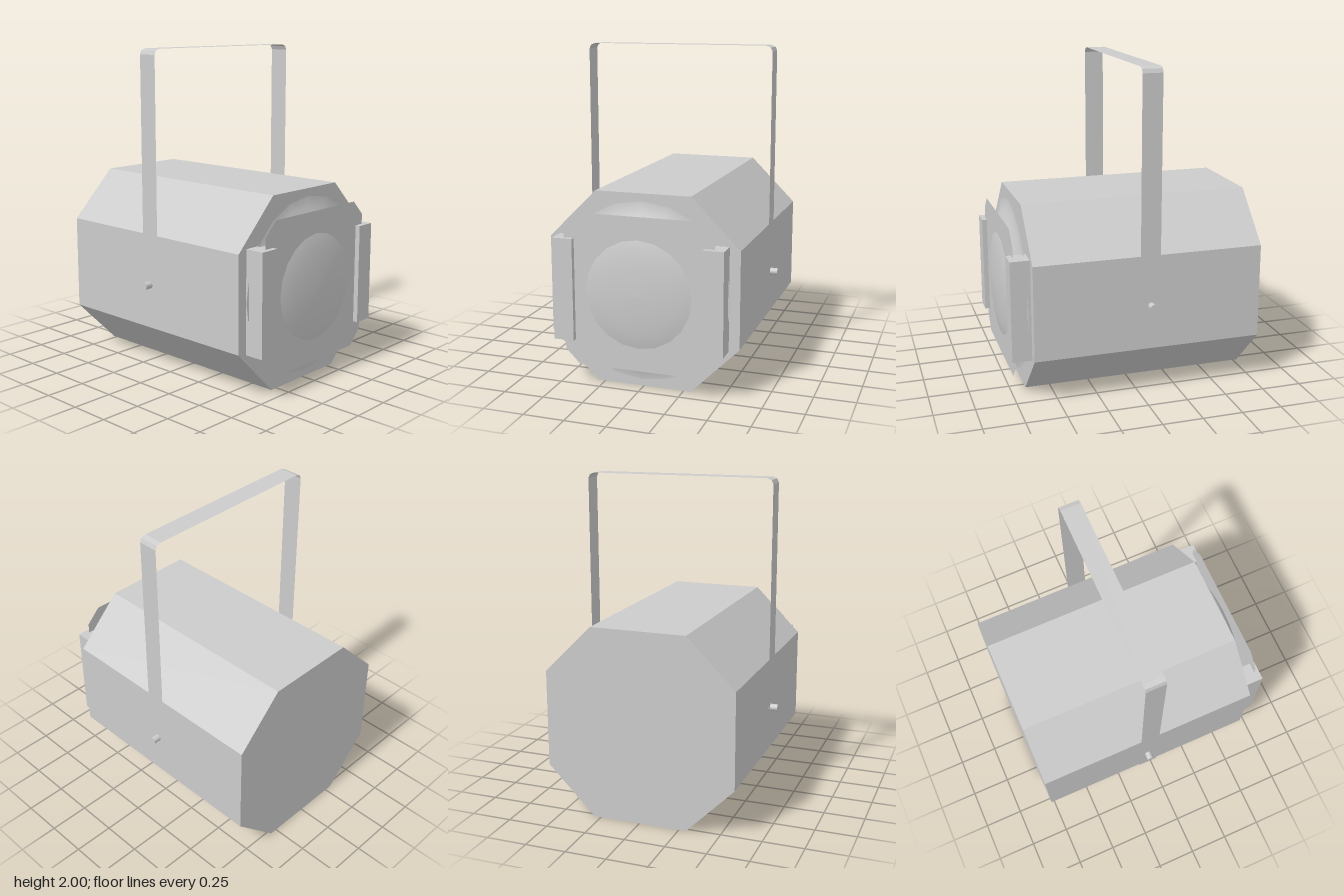
import * as THREE from 'three';

const smooth = new THREE.MeshStandardMaterial({ color: 0xcccccc, side: THREE.DoubleSide });
const flat = new THREE.MeshStandardMaterial({ color: 0xcccccc, side: THREE.DoubleSide, flatShading: true });

function add(parent, name, geometry, material, x = 0, y = 0, z = 0) {
  const mesh = new THREE.Mesh(geometry, material);
  mesh.name = name;
  mesh.position.set(x, y, z);
  parent.add(mesh);
  return mesh;
}

// Rectangle of half-size w, h with its four corners cut by c
function cutRect(w, h, c) {
  return new THREE.Shape([
    [w, c - h], [w, h - c], [w - c, h], [c - w, h],
    [-w, h - c], [-w, c - h], [c - w, -h], [w - c, -h],
  ].map(([x, y]) => new THREE.Vector2(x, y)));
}

// Thin strip that follows a path in x/y and spans z0..z1
function ribbon(path, z0, z1) {
  const pos = [], index = [];
  path.forEach(([x, y], i) => {
    pos.push(x, y, z0, x, y, z1);
    if (i > 0) {
      const a = 2 * (i - 1);
      index.push(a, a + 1, a + 2, a + 1, a + 3, a + 2);
    }
  });
  const g = new THREE.BufferGeometry();
  g.setAttribute('position', new THREE.Float32BufferAttribute(pos, 3));
  g.setIndex(index);
  g.computeVertexNormals();
  return g;
}

export function createModel() {
  const model = new THREE.Group();
  model.name = 'stageLight';

  // Octagonal housing
  const housing = new THREE.ExtrudeGeometry(cutRect(0.59, 0.59, 0.295), { depth: 1.43, bevelEnabled: false });
  add(model, 'housing', housing, flat, 0, 0.59, -0.775);

  // Shallow domed lens with a nearly flat rim
  const profile = [[0.545, 0], [0.495, 0.006], [0.45, 0.028], [0.4, 0.046], [0.325, 0.07],
    [0.24, 0.085], [0.15, 0.094], [0.07, 0.098], [0, 0.1]].map(([r, h]) => new THREE.Vector2(r, h));
  const lens = new THREE.LatheGeometry(profile, 20);
  lens.rotateX(Math.PI / 2);
  add(model, 'lens', lens, smooth, 0, 0.594, 0.675);

  // Thin filter sheet that the lens bulges through
  add(model, 'filterSheet', new THREE.ShapeGeometry(cutRect(0.465, 0.467, 0.09)), flat, 0, 0.593, 0.744);

  // Side holders for the sheet, and yoke pivots
  for (const [side, s] of [['left', 1], ['right', -1]]) {
    add(model, side + 'SheetHolder', new THREE.BoxGeometry(0.125, 0.625, 0.12), flat, s * 0.4625, 0.5925, 0.715);
    const pin = new THREE.CylinderGeometry(0.022, 0.022, 0.06, 16);
    pin.rotateZ(Math.PI / 2);
    add(model, side + 'PivotPin', pin, smooth, s * 0.617, 0.573, -0.065);
  }

  // Hanging yoke, a bent metal strip with rounded corners
  const half = [[0.6, 0.31], [0.6, 1.965], [0.589, 1.989], [0.56, 2]];
  const path = [...half, ...half.map(([x, y]) => [-x, y]).reverse()];
  add(model, 'yoke', ribbon(path, -0.12, 0.005), flat);

  return model;
}
